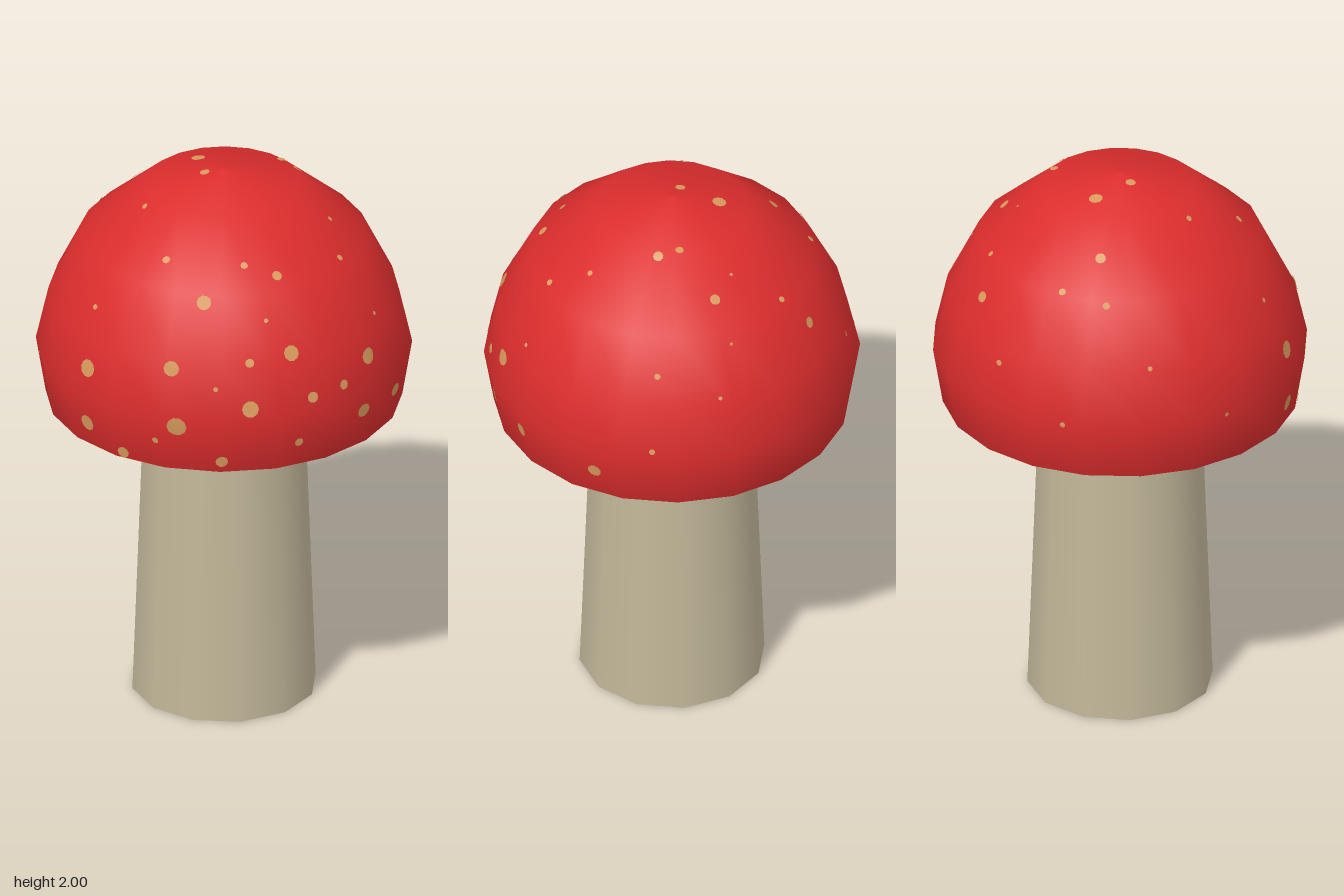
import * as THREE from 'three';

const mat = (name, color, side = THREE.FrontSide) => {
  const m = new THREE.MeshStandardMaterial({ color, side });
  m.name = name;
  return m;
};

const lathe = (points, sides) =>
  new THREE.LatheGeometry(points.map(([r, y]) => new THREE.Vector2(r, y)), sides);

export function createModel() {
  const group = new THREE.Group();
  const red = mat('capRed', 0xdc2d2d);
  const cream = mat('stemCream', 0xc2b799, THREE.DoubleSide);
  const tan = mat('spotTan', 0xd89a5c, THREE.DoubleSide);

  const add = (name, geometry, material, parent = group) => {
    const mesh = new THREE.Mesh(geometry, material);
    mesh.name = name;
    parent.add(mesh);
    return mesh;
  };

  // Tapered open stem, reaching up into the hollow cap
  add('stem', lathe([[0.325, 0], [0.285, 1.1], [0.27, 1.5]], 12), cream);

  // Domed cap with a rolled lower edge
  const cap = add('cap', lathe([
    [0.54, 1.105], [0.57, 1.105], [0.622, 1.13], [0.656, 1.335],
    [0.612, 1.53], [0.5, 1.755], [0.27, 1.95], [0, 2],
  ], 20), red);

  // Hollow underside
  add('capUnderside', lathe([
    [0, 1.55], [0.28, 1.5], [0.45, 1.35], [0.52, 1.2], [0.54, 1.105],
  ], 20), cream);

  // Spots: thin discs draped over the cap
  const spots = new THREE.Group();
  spots.name = 'spots';
  group.add(spots);
  const caster = new THREE.Raycaster();
  const project = (origin, direction) => {
    caster.set(origin, direction);
    return caster.intersectObject(cap)[0];
  };

  const addSpot = (origin, direction, radius) => {
    const hit = project(origin, direction);
    if (!hit) return;
    const n = hit.face.normal.clone();
    const turn = new THREE.Quaternion().setFromUnitVectors(new THREE.Vector3(0, 0, 1), n);
    const disc = new THREE.CircleGeometry(radius, 10);
    const pos = disc.attributes.position;
    const v = new THREE.Vector3();
    const inward = n.clone().negate();
    for (let i = 0; i < pos.count; i++) {
      v.fromBufferAttribute(pos, i).applyQuaternion(turn).add(hit.point);
      const h = project(v.clone().addScaledVector(n, 0.3), inward);
      if (h) v.copy(h.point);
      v.addScaledVector(n, 0.004);
      pos.setXYZ(i, v.x, v.y, v.z);
    }
    disc.computeVertexNormals();
    add('spot', disc, tan, spots);
  };

  // Front spots: x, y, radius
  const front = [
    [0.1, 1.73, 0.026], [0.02, 1.515, 0.028], [-0.31, 1.43, 0.032], [0.05, 1.31, 0.036],
    [-0.31, 1.22, 0.03], [-0.16, 1.155, 0.022], [-0.03, 1.24, 0.012], [0.2, 1.175, 0.022],
    [0.295, 1.38, 0.03], [0.28, 1.54, 0.016], [0.4, 1.555, 0.028], [0.475, 1.39, 0.02],
    [0.435, 1.225, 0.016], [0.18, 1.455, 0.009], [-0.31, 1.63, 0.01], [-0.07, 1.825, 0.014],
    [0.31, 1.79, 0.018], [0.31, 1.67, 0.008], [-0.57, 1.33, 0.008],
  ];
  for (const [x, y, r] of front)
    addSpot(new THREE.Vector3(x, y, 2), new THREE.Vector3(0, 0, -1), r);

  // Spots on the +x side: z, y, radius
  const side = [
    [0.235, 1.27, 0.027], [0.19, 1.46, 0.03], [0.03, 1.26, 0.025], [-0.285, 1.235, 0.025],
    [-0.46, 1.365, 0.011], [-0.405, 1.63, 0.011], [0.08, 1.57, 0.008], [0.1, 1.775, 0.012],
    [0.315, 1.4, 0.018],
  ];
  for (const [z, y, r] of side)
    addSpot(new THREE.Vector3(2, y, z), new THREE.Vector3(-1, 0, 0), r);

  // Crown and back spots: x, z, radius
  const top = [
    [-0.21, -0.505, 0.02], [-0.12, -0.465, 0.011], [0.115, -0.39, 0.019], [0.017, -0.355, 0.006],
    [0.135, -0.215, 0.015], [0.205, -0.185, 0.018], [-0.13, -0.1, 0.025], [-0.36, -0.11, 0.019],
    [-0.49, -0.105, 0.013], [-0.415, -0.25, 0.013], [-0.06, 0.03, 0.018], [-0.215, 0.215, 0.011],
    [0.22, -0.555, 0.007], [0.13, -0.5, 0.006], [0.38, 0.025 * -1, 0.01], [0.2, 0.36, 0.013],
    [-0.6, 0.035, 0.009],
  ];
  for (const [x, z, r] of top)
    addSpot(new THREE.Vector3(x, 3, z), new THREE.Vector3(0, -1, 0), r);

  // Low spots at the back: x, y, z, radius
  for (const [x, y, z, r] of [[-0.4, 1.49, -0.47, 0.011], [-0.59, 1.335, -0.27, 0.01]])
    addSpot(new THREE.Vector3(x * 3, y, z * 3), new THREE.Vector3(-x, 0, -z).normalize(), r);

  return group;
}
